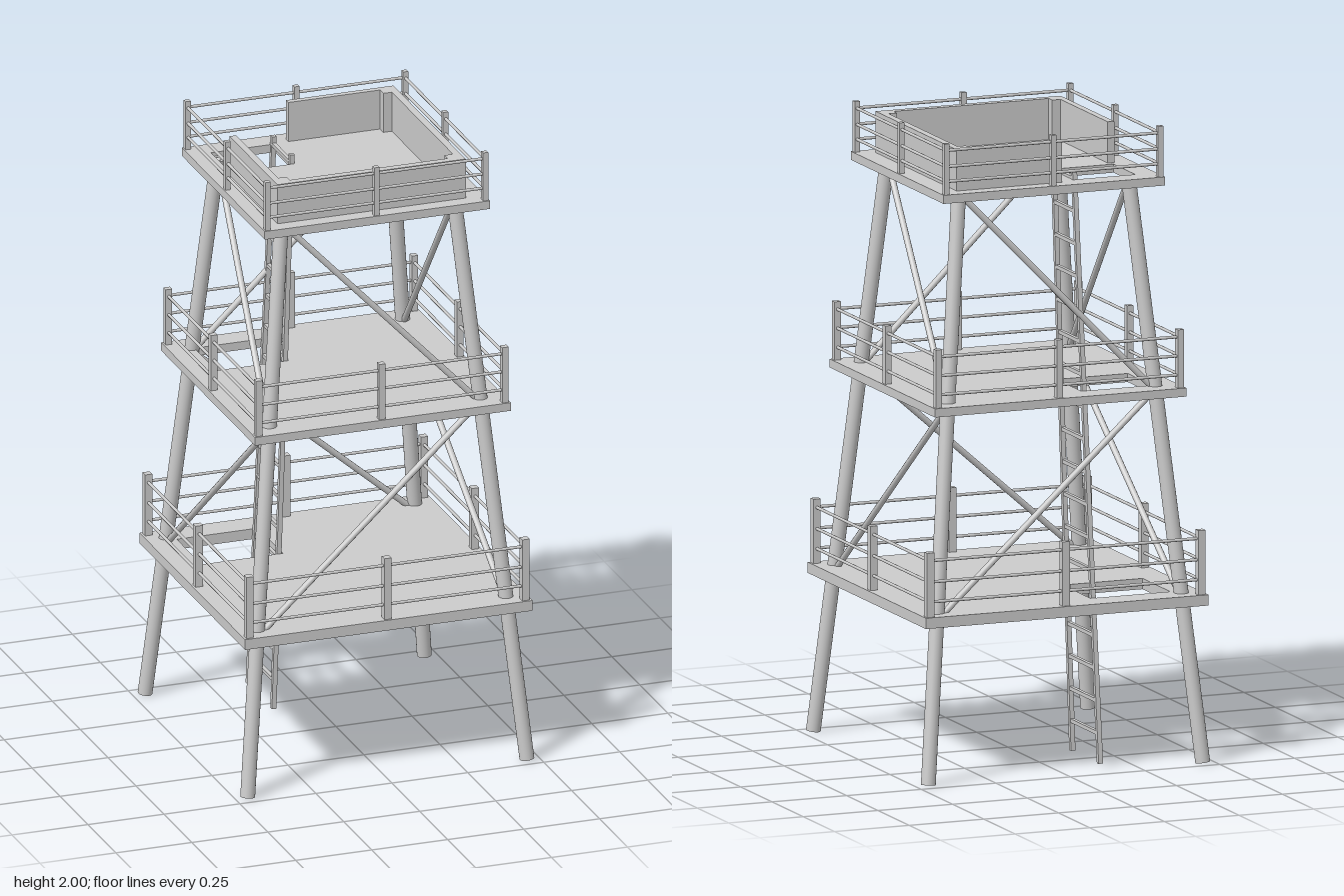
import * as THREE from 'three';

const material = new THREE.MeshStandardMaterial({ color: 0xcccccc });
const V = (x, y, z) => new THREE.Vector3(x, y, z);

function add(parent, name, geometry) {
  const mesh = new THREE.Mesh(geometry, material);
  mesh.name = name;
  parent.add(mesh);
  return mesh;
}

// Upright box given by its extents
function box(parent, name, x0, x1, y0, y1, z0, z1) {
  add(parent, name, new THREE.BoxGeometry(x1 - x0, y1 - y0, z1 - z0))
    .position.set((x0 + x1) / 2, (y0 + y1) / 2, (z0 + z1) / 2);
}

// Round bar between two points
function rod(parent, name, a, b, radius, sides = 8) {
  const mesh = add(parent, name, new THREE.CylinderGeometry(radius, radius, a.distanceTo(b), sides));
  mesh.position.copy(a).lerp(b, 0.5);
  mesh.quaternion.setFromUnitVectors(V(0, 1, 0), b.clone().sub(a).normalize());
}

// Square bar between two points
function beam(parent, name, a, b, width) {
  const mesh = add(parent, name, new THREE.BoxGeometry(width, a.distanceTo(b), width));
  mesh.position.copy(a).lerp(b, 0.5);
  mesh.quaternion.setFromUnitVectors(V(0, 1, 0), b.clone().sub(a).normalize());
}

// Distance of a leg's centre line from the axis at height y
const legAt = (y) => 0.46 - 0.0962 * y;

// Square floor with a ladder hatch in the back corner
function deck(parent, half, bottom, top) {
  const rect = (T, x0, x1, y0, y1) => new T([
    new THREE.Vector2(x0, y0), new THREE.Vector2(x1, y0),
    new THREE.Vector2(x1, y1), new THREE.Vector2(x0, y1)]);
  const shape = rect(THREE.Shape, -half, half, -half, half);
  shape.holes.push(rect(THREE.Path, -0.81 * half, -0.245 * half, 0.34 * half, 0.81 * half));
  const geometry = new THREE.ExtrudeGeometry(shape, { depth: top - bottom, bevelEnabled: false });
  geometry.rotateX(-Math.PI / 2);
  add(parent, 'deckFloor', geometry).position.y = bottom;
}

// Corner and middle posts with three rails on each side
function railing(parent, r, floor, top, width, heights) {
  const w = width / 2;
  for (const i of [-1, 0, 1]) for (const k of [-1, 0, 1]) {
    if (i || k) box(parent, 'railingPost', i * r - w, i * r + w, floor, top, k * r - w, k * r + w);
  }
  for (const y of heights) for (const s of [-1, 1]) {
    rod(parent, 'railX', V(-r, y, s * r), V(r, y, s * r), 0.005);
    rod(parent, 'railZ', V(s * r, y, -r), V(s * r, y, r), 0.005);
  }
}

export function createModel() {
  const tower = new THREE.Group();
  tower.name = 'watchtower';
  const group = (name) => {
    const g = new THREE.Group();
    g.name = name;
    tower.add(g);
    return g;
  };

  // Inclined legs
  const legs = group('legs');
  for (const sx of [-1, 1]) for (const sz of [-1, 1]) {
    const a = legAt(0.005), b = legAt(1.825);
    rod(legs, 'leg', V(sx * a, 0.005, sz * a), V(sx * b, 1.825, sz * b), 0.023, 20);
  }

  // Decks with railings
  const levels = [
    { name: 'lowerDeck', half: 0.473, bottom: 0.5, floor: 0.534, r: 0.454, top: 0.737, w: 0.024, rails: [0.58, 0.643, 0.71] },
    { name: 'middleDeck', half: 0.421, bottom: 1.153, floor: 1.18, r: 0.405, top: 1.364, w: 0.021, rails: [1.22, 1.28, 1.34] },
    { name: 'topDeck', half: 0.371, bottom: 1.813, floor: 1.84, r: 0.358, top: 2, w: 0.017, rails: [1.88, 1.927, 1.978] },
  ];
  for (const l of levels) {
    const g = group(l.name);
    deck(g, l.half, l.bottom, l.floor);
    railing(g, l.r, l.floor, l.top, l.w, l.rails);
  }

  // One diagonal brace per side and storey, reversing between storeys
  const braces = group('braces');
  [[0.51, 1.17, 1], [1.165, 1.825, -1]].forEach(([y0, y1, dir]) => {
    const a = legAt(y0), b = legAt(y1);
    for (let i = 0; i < 4; i++) {
      const turn = (v) => v.applyAxisAngle(V(0, 1, 0), i * Math.PI / 2);
      rod(braces, 'brace', turn(V(-dir * a, y0, a)), turn(V(dir * b, y1, b)), 0.01, 10);
    }
  });

  // Parapet around the top floor, open at the hatch corner
  const parapet = group('parapet');
  const y0 = 1.84, y1 = 1.97;
  box(parapet, 'frontWall', -0.312, 0.308, y0, y1, 0.3, 0.324);
  box(parapet, 'leftWall', 0.285, 0.308, y0, y1, -0.325, 0.3);
  box(parapet, 'rightWall', -0.312, -0.29, y0, y1, -0.105, 0.3);
  box(parapet, 'backWall', -0.045, 0.285, y0, y1, -0.325, -0.305);
  box(parapet, 'cornerPost', 0.257, 0.285, y0, y1, 0.272, 0.3);
  box(parapet, 'cornerPost', -0.29, -0.262, y0, y1, 0.272, 0.3);
  box(parapet, 'cornerPost', 0.257, 0.285, y0, y1, -0.305, -0.275);

  // Tapering ladder through the hatches
  const ladder = group('ladder');
  const topY = 1.87;
  const foot = [V(-0.14, 0.015, -0.401), V(-0.14, 0.015, -0.18)];
  const head = [V(-0.097, topY, -0.295), V(-0.097, topY, -0.134)];
  for (const i of [0, 1]) beam(ladder, 'ladderRail', foot[i], head[i], 0.015);
  for (let n = 0; n < 18; n++) {
    const t = (0.11 + 0.1019 * n - 0.015) / (topY - 0.015);
    beam(ladder, 'rung', foot[0].clone().lerp(head[0], t), foot[1].clone().lerp(head[1], t), 0.012);
  }
  return tower;
}
